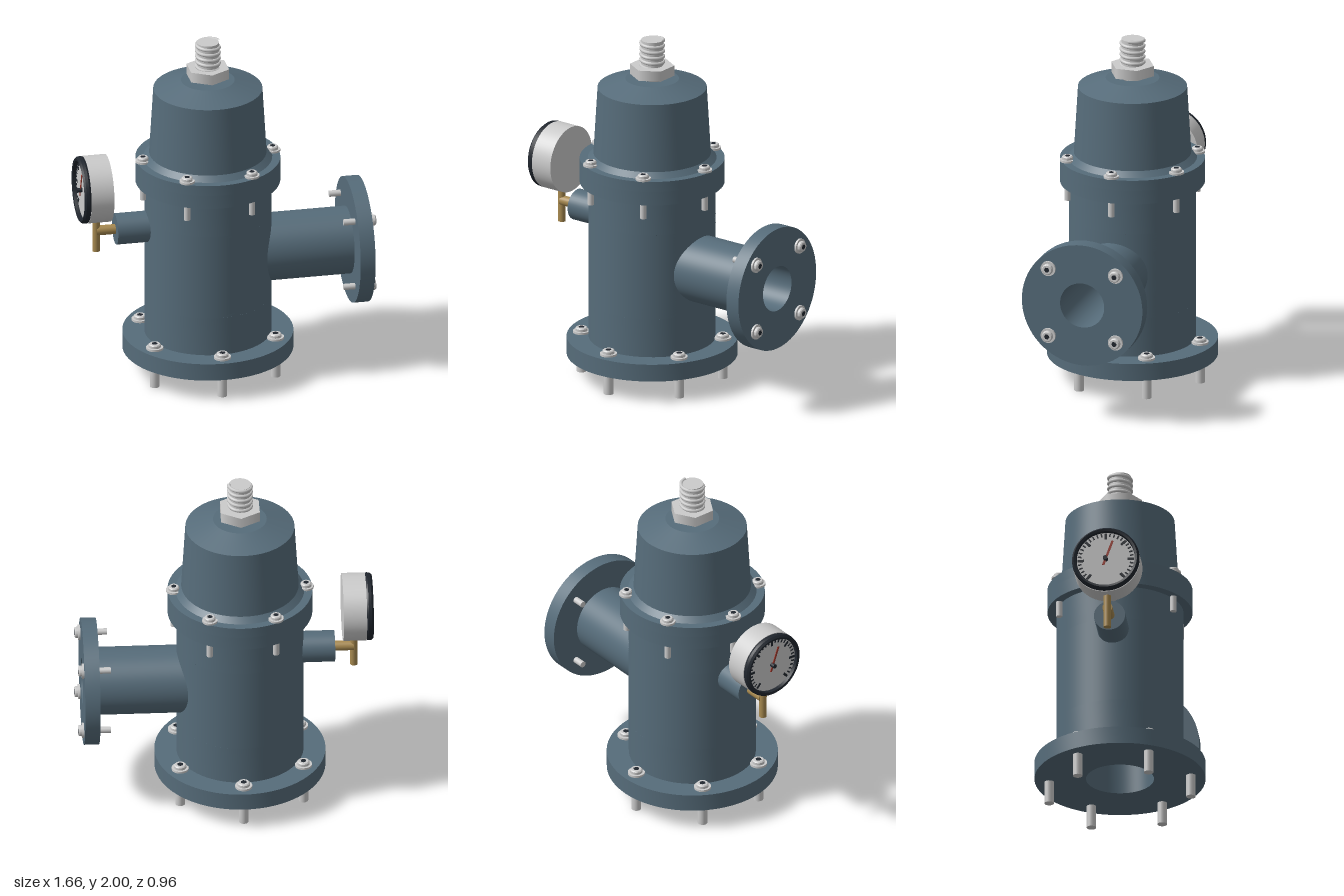
import * as THREE from 'three';
import { toCreasedNormals } from 'three/addons/utils/BufferGeometryUtils.js';

const mat = (color) => new THREE.MeshStandardMaterial({ color });
const AXIS = -0.083; // x of the vertical body axis
const BODY_R = 0.355;
const PIPE_Y = 0.705;
const BORE = 0.13;

// Endless-coil path around the y axis
class Helix extends THREE.Curve {
  constructor(radius, y0, y1, turns) {
    super();
    Object.assign(this, { radius, y0, y1, turns });
  }
  getPoint(t, target = new THREE.Vector3()) {
    const a = t * this.turns * Math.PI * 2;
    return target.set(this.radius * Math.cos(a), this.y0 + (this.y1 - this.y0) * t, this.radius * Math.sin(a));
  }
}

export function createModel() {
  const model = new THREE.Group();
  model.name = 'reliefValve';
  const paint = mat(0x566c7a);
  const steel = mat(0xcccccc);
  const brass = mat(0xa88a50);
  const dark = mat(0x20262e);
  const red = mat(0xa03c30);
  const wallPaint = paint.clone();
  wallPaint.side = THREE.DoubleSide;

  const add = (parent, name, geometry, material, x = 0, y = 0, z = 0) => {
    const mesh = new THREE.Mesh(geometry, material);
    mesh.name = name;
    mesh.position.set(x, y, z);
    parent.add(mesh);
    return mesh;
  };
  const addGroup = (parent, name, x = 0, y = 0, z = 0) => {
    const group = new THREE.Group();
    group.name = name;
    group.position.set(x, y, z);
    parent.add(group);
    return group;
  };
  const lathe = (points) =>
    toCreasedNormals(new THREE.LatheGeometry(points.map(([r, y]) => new THREE.Vector2(r, y)), 72), 0.25);
  const rod = (r, y0, y1, sides = 32) => new THREE.CylinderGeometry(r, r, y1 - y0, sides).translate(0, (y0 + y1) / 2, 0);

  // Bolt standing on y = 0, shank pointing down
  const bolt = (parent, name, x, y, z, headR, shankR, length) => {
    const g = addGroup(parent, name, x, y, z);
    add(g, 'washer', rod(headR, 0, 0.012, 24), steel);
    add(g, 'head', lathe([[headR * 0.72, 0.01], [headR * 0.72, 0.026], [headR * 0.6, 0.032], [0, 0.032]]), steel);
    add(g, 'socket', rod(headR * 0.36, 0.02, 0.033, 6), dark);
    add(g, 'shank', rod(shankR, -length, 0, 20), steel);
  };

  const core = addGroup(model, 'body', AXIS);

  // Base flange with inlet bore, and the lower wall
  add(core, 'baseFlange', lathe([[0.19, 0.13], [0.478, 0.13], [0.478, 0.23], [BODY_R, 0.23],
    [BODY_R, 0.455], [0.19, 0.455], [0.19, 0.13]]), paint);

  // Wall half with the outlet opening: a grid spread from the hole to a rectangle, bent round the axis
  const wall = new THREE.PlaneGeometry(1, 1, 128, 16);
  const pos = wall.attributes.position;
  for (let i = 0; i < pos.count; i++) {
    const t = (pos.getX(i) + 0.5) * Math.PI * 2;
    const v = pos.getY(i) + 0.5;
    const c = Math.cos(t), s = Math.sin(t), k = 1 / Math.max(Math.abs(c), Math.abs(s));
    const a = THREE.MathUtils.lerp(Math.asin((BORE * c) / BODY_R), (c * k * Math.PI) / 2, v);
    const y = THREE.MathUtils.lerp(BORE * s, s * k * 0.25, v);
    // z runs opposite to the angle so that the faces look outward
    pos.setXYZ(i, BODY_R * Math.cos(a), PIPE_Y + y, BODY_R * Math.sin(a));
    wall.attributes.normal.setXYZ(i, Math.cos(a), 0, Math.sin(a));
  }
  // Reverse the winding to agree with the outward normals if needed
  const idx = wall.index;
  const [p, q, r] = [0, 1, 2].map((j) => new THREE.Vector3().fromBufferAttribute(pos, idx.getX(j)));
  const facing = q.clone().sub(p).cross(r.clone().sub(p));
  if (facing.x < 0) {
    for (let i = 0; i < idx.count; i += 3) {
      const first = idx.getX(i);
      idx.setX(i, idx.getX(i + 2));
      idx.setX(i + 2, first);
    }
  }
  add(core, 'outletWall', wall, wallPaint);
  add(core, 'rearWall', new THREE.CylinderGeometry(BODY_R, BODY_R, 0.5, 36, 1, true, Math.PI, Math.PI),
    wallPaint, 0, PIPE_Y);
  add(core, 'upperFlange', lathe([[BODY_R, 0.955], [BODY_R, 1.15], [0.405, 1.15], [0.405, 1.23], [0.3, 1.23]]), wallPaint);

  // Tapered bonnet
  add(core, 'bonnet', lathe([[0.3, 1.23], [0.405, 1.23], [0.405, 1.29], [0.36, 1.29], [0.328, 1.32],
    [0.305, 1.71], [0.15, 1.76], [0, 1.76]]), wallPaint);

  // Adjusting screw with lock nut
  add(core, 'screwCore', rod(0.062, 1.75, 1.99), steel);
  add(core, 'screwThread', new THREE.TubeGeometry(new Helix(0.063, 1.765, 1.99, 7), 260, 0.01, 8), steel);
  add(core, 'lockNut', rod(0.125, 1.78, 1.84, 6), steel);

  // Piston and spring inside the chamber
  add(core, 'piston', rod(0.215, 0.45, 0.66, 48), steel);
  add(core, 'innerSpring', new THREE.TubeGeometry(new Helix(0.2, 0.69, 1.6, 9), 400, 0.026, 10), dark);

  // Rings of six bolts
  for (let i = 0; i < 6; i++) {
    const a = (i * Math.PI) / 3, b = a + Math.PI / 6;
    bolt(core, 'bonnetBolt', 0.37 * Math.cos(a), 1.29, 0.37 * Math.sin(a), 0.043, 0.018, 0.23);
    bolt(core, 'baseBolt', 0.398 * Math.cos(b), 0.23, 0.398 * Math.sin(b), 0.048, 0.027, 0.23);
  }

  // Outlet pipe and flange, built upright and laid along +x
  const outlet = addGroup(model, 'outlet', 0, PIPE_Y);
  outlet.rotation.z = -Math.PI / 2;
  add(outlet, 'outletPipe', lathe([[BORE, 0.2], [0.19, 0.2], [0.19, 0.715], [0.355, 0.715],
    [0.355, 0.8], [BORE, 0.8], [BORE, 0.2]]), paint);
  for (const sx of [-1, 1]) for (const sz of [-1, 1])
    bolt(outlet, 'outletBolt', sx * 0.198, 0.8, sz * 0.198, 0.043, 0.018, 0.15);

  // Gauge branch, laid along -x
  const branch = addGroup(model, 'gaugeBranch', 0, 0.893);
  branch.rotation.z = Math.PI / 2;
  add(branch, 'boss', rod(0.088, 0.4, 0.612, 40), paint);
  add(branch, 'brassNipple', rod(0.028, 0.6, 0.72), brass);
  add(model, 'brassStem', rod(0.021, 0.77, 0.98), brass, -0.72);

  // Pressure gauge, dial facing -x
  const gauge = addGroup(model, 'gauge', 0, 1.15);
  gauge.rotation.z = Math.PI / 2;
  add(gauge, 'gaugeCase', rod(0.19, 0.655, 0.785, 64), steel);
  add(gauge, 'bezel', lathe([[0.165, 0.78], [0.186, 0.785], [0.19, 0.795], [0.188, 0.812], [0.178, 0.823],
    [0.165, 0.82], [0.162, 0.795], [0.162, 0.78]]), dark);
  add(gauge, 'dial', rod(0.166, 0.78, 0.8, 64), steel);

  // Dial marks and needle; local +x is up on the dial
  const mark = (name, angle, r0, r1, width, y, material) => {
    const m = add(gauge, name, new THREE.BoxGeometry(r1 - r0, 0.004, width).translate((r0 + r1) / 2, 0, 0), material, 0, y);
    m.rotation.y = angle;
  };
  for (let i = 0; i <= 30; i++)
    mark('dialMark', ((i - 15) / 15) * 2.4, i % 5 ? 0.138 : 0.122, 0.158, i % 5 ? 0.008 : 0.014, 0.801, dark);
  mark('needle', -0.35, -0.04, 0.115, 0.012, 0.81, red);
  add(gauge, 'needlePivot', rod(0.013, 0.8, 0.829, 20), dark);

  return model;
}
